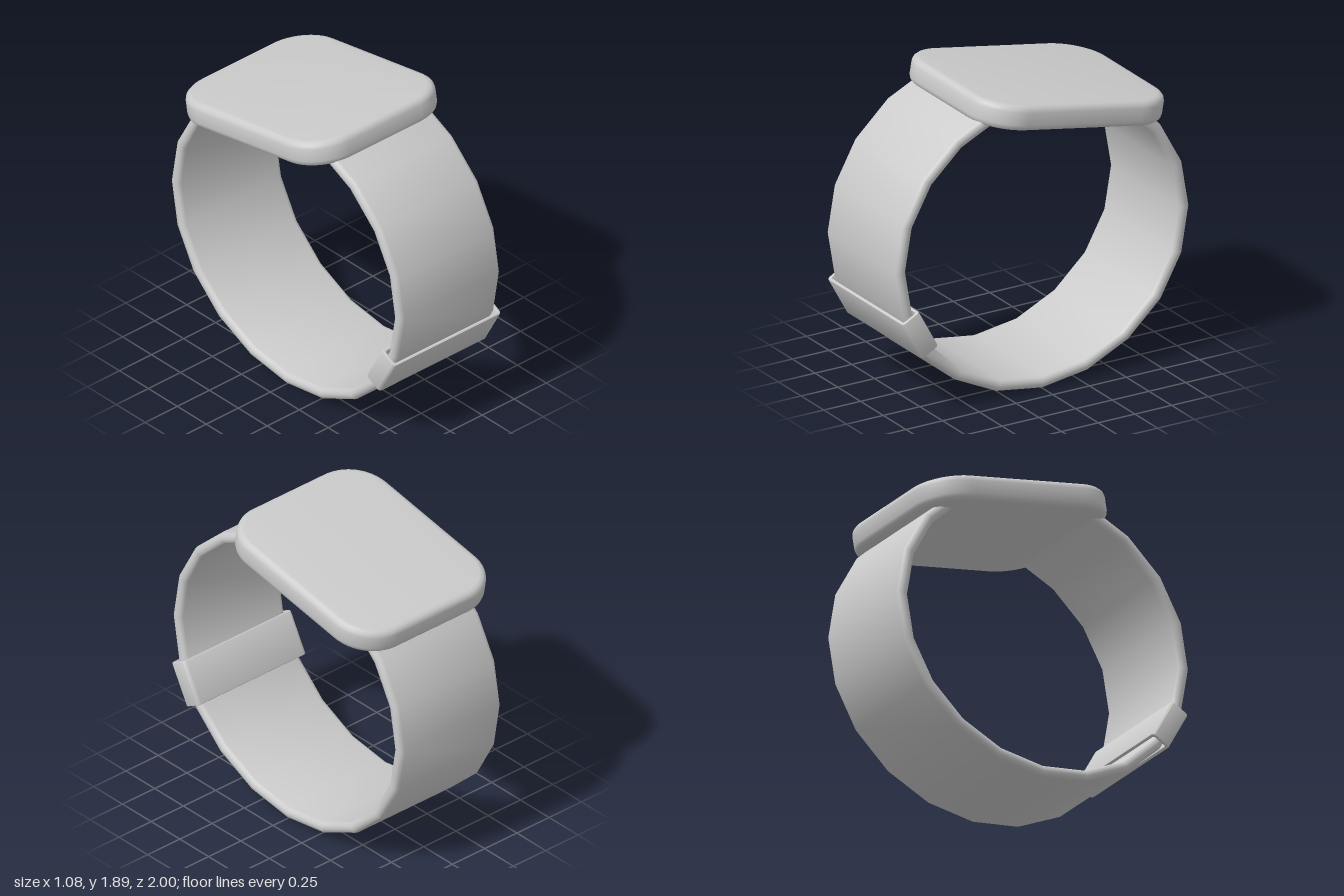
import * as THREE from 'three';
import { toCreasedNormals } from 'three/addons/utils/BufferGeometryUtils.js';

const material = new THREE.MeshStandardMaterial({ color: 0xcccccc });
const rad = THREE.MathUtils.degToRad;

// Trace a rounded rectangle centred on the origin
function roundedRect(path, w, h, r) {
  const x = w / 2 - r, y = h / 2 - r;
  path.absarc(x, y, r, 0, Math.PI / 2);
  path.absarc(-x, y, r, Math.PI / 2, Math.PI);
  path.absarc(-x, -y, r, Math.PI, Math.PI * 1.5);
  path.absarc(x, -y, r, Math.PI * 1.5, Math.PI * 2);
  path.closePath();
  return path;
}

// Bevelled slab centred on the origin, full size w x h x depth
function slab(w, h, depth, radius, bevel, segments, hole) {
  const shape = roundedRect(new THREE.Shape(), w - 2 * bevel, h - 2 * bevel, radius);
  if (hole) shape.holes.push(hole);
  const geo = new THREE.ExtrudeGeometry(shape, {
    depth: depth - 2 * bevel, bevelEnabled: true, bevelSize: bevel,
    bevelThickness: bevel, bevelSegments: segments, curveSegments: 8,
  });
  geo.translate(0, 0, bevel - depth / 2);
  return geo;
}

// Band: a rounded cross-section swept along a 20-sided ring, open under the case
function bandGeometry() {
  const radius = 1, height = 0.93, thick = 0.07, width = 0.78, round = 0.03;
  const profile = [];
  [[1, 1, 0], [-1, 1, 90], [-1, -1, 180], [1, -1, 270]].forEach(([sx, sr, start]) => {
    for (let k = 0; k <= 3; k++) {
      const a = rad(start + k * 30);
      profile.push([
        sx * (width / 2 - round) + round * Math.cos(a),
        sr * (thick / 2 - round) + round * Math.sin(a) - thick / 2,
      ]);
    }
  });
  const n = profile.length, positions = [], index = [], steps = 17;
  for (let i = 0; i <= steps; i++) {
    const a = rad(72 - i * 18);
    for (const [x, r] of profile) {
      positions.push(x + 0.007, height + (height + r) * Math.sin(a), (radius + r) * Math.cos(a));
    }
  }
  for (let i = 0; i < steps; i++) {
    for (let j = 0; j < n; j++) {
      const a = i * n + j, b = i * n + (j + 1) % n;
      index.push(a, b, a + n, b, b + n, a + n);
    }
  }
  const geo = new THREE.BufferGeometry();
  geo.setAttribute('position', new THREE.Float32BufferAttribute(positions, 3));
  geo.setIndex(index);
  return toCreasedNormals(geo, rad(40));
}

export function createModel() {
  const group = new THREE.Group();
  const add = (name, geo) => {
    const mesh = new THREE.Mesh(geo, material);
    mesh.name = name;
    group.add(mesh);
    return mesh;
  };

  // Watch case, tilted down toward the back
  const caseGeo = slab(1.08, 1.3, 0.156, 0.22, 0.04, 3);
  caseGeo.rotateX(-Math.PI / 2);
  const watchCase = add('watchCase', toCreasedNormals(caseGeo, rad(35)));
  watchCase.position.set(0, 1.71, -0.2);
  watchCase.rotation.x = rad(-10.2);

  // Strap
  const band = add('band', bandGeometry());
  band.material = material.clone();
  band.material.side = THREE.DoubleSide;

  // Hollow keeper loop around the lower front of the strap
  const opening = roundedRect(new THREE.Path(), 0.812, 0.104, 0.02);
  const loop = add('keeperLoop', toCreasedNormals(slab(0.84, 0.13, 0.275, 0.015, 0.008, 2, opening), rad(35)));
  loop.position.set(0.007, 0.53, 0.852);
  loop.rotation.x = rad(-61.2);

  return group;
}
